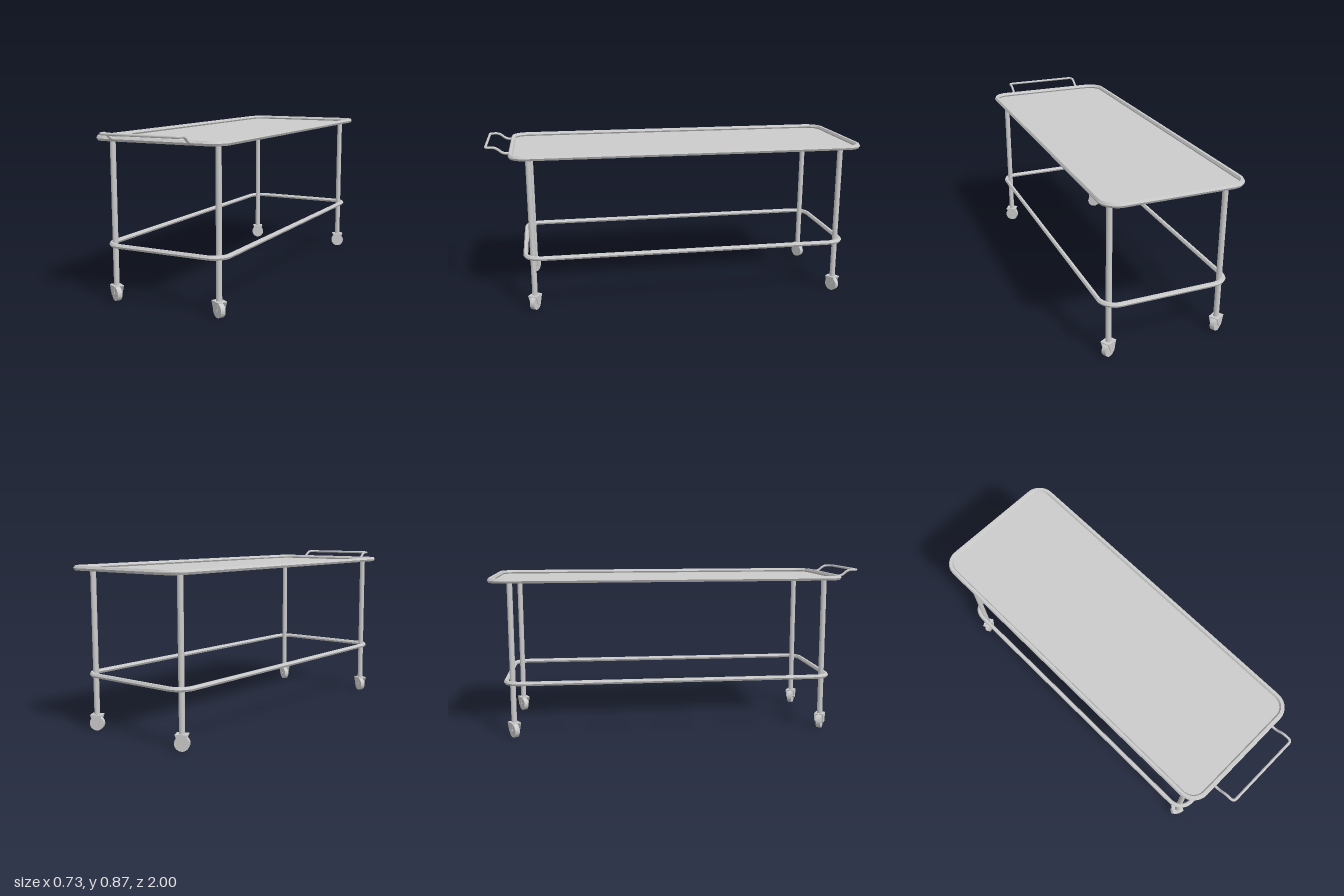
import * as THREE from 'three';

const material = new THREE.MeshStandardMaterial({ color: 0xcccccc });
const faceted = new THREE.MeshStandardMaterial({ color: 0xcccccc, flatShading: true });

function part(name, geometry, mat = material) {
  const mesh = new THREE.Mesh(geometry, mat);
  mesh.name = name;
  return mesh;
}

// Outline of a rounded rectangle in the xz plane, grown outward by d
function outline(hx, hz, r, d, steps = 7) {
  const points = [];
  const corners = [[1, 1], [-1, 1], [-1, -1], [1, -1]];
  corners.forEach(([sx, sz], q) => {
    for (let i = 0; i <= steps; i++) {
      const a = (q + i / steps) * Math.PI / 2;
      points.push([sx * (hx - r) + (r + d) * Math.cos(a), sz * (hz - r) + (r + d) * Math.sin(a)]);
    }
  });
  return points;
}

// Hexagonal bar swept round a rounded rectangle
function ringGeometry(hx, hz, r, bar) {
  const sides = 6, positions = [], index = [];
  let n = 0;
  for (let s = 0; s < sides; s++) {
    const t = s / sides * Math.PI * 2;
    const loop = outline(hx, hz, r, bar * Math.cos(t));
    n = loop.length;
    loop.forEach(([x, z]) => positions.push(x, bar * Math.sin(t), z));
  }
  for (let s = 0; s < sides; s++) {
    for (let i = 0; i < n; i++) {
      const a = s * n + i, b = s * n + (i + 1) % n;
      const c = ((s + 1) % sides) * n + i, d = ((s + 1) % sides) * n + (i + 1) % n;
      index.push(a, c, b, b, c, d);
    }
  }
  const g = new THREE.BufferGeometry();
  g.setAttribute('position', new THREE.Float32BufferAttribute(positions, 3));
  g.setIndex(index);
  g.computeVertexNormals();
  return g;
}

// Path through points with each inner corner rounded
function roundedPath(points, radius) {
  const path = new THREE.CurvePath();
  let last = points[0];
  for (let i = 1; i < points.length - 1; i++) {
    const p = points[i];
    const toward = (q) => p.clone().add(q.clone().sub(p).setLength(Math.min(radius, p.distanceTo(q) * 0.45)));
    const a = toward(points[i - 1]), b = toward(points[i + 1]);
    path.add(new THREE.LineCurve3(last, a));
    path.add(new THREE.QuadraticBezierCurve3(a, p, b));
    last = b;
  }
  path.add(new THREE.LineCurve3(last, points[points.length - 1]));
  return path;
}

function makeCaster() {
  const caster = new THREE.Group();
  caster.name = 'caster';
  const wheel = part('wheel', new THREE.CylinderGeometry(0.037, 0.037, 0.025, 28).rotateX(Math.PI / 2));
  wheel.position.y = 0.037;
  const axle = part('axle', new THREE.CylinderGeometry(0.005, 0.005, 0.046, 10).rotateX(Math.PI / 2));
  axle.position.y = 0.039;
  const plate = part('forkTop', new THREE.BoxGeometry(0.061, 0.004, 0.048));
  plate.position.y = 0.081;
  caster.add(wheel, axle, plate);

  // Tapered fork cheeks on both sides of the wheel
  const cheek = new THREE.Shape([
    new THREE.Vector2(-0.0305, 0.083), new THREE.Vector2(-0.012, 0.033),
    new THREE.Vector2(0.012, 0.033), new THREE.Vector2(0.0305, 0.083),
  ]);
  for (const z of [-0.025, 0.022]) {
    const side = part('forkCheek', new THREE.ExtrudeGeometry(cheek, { depth: 0.003, bevelEnabled: false }));
    side.position.z = z;
    caster.add(side);
  }
  return caster;
}

export function createModel() {
  const model = new THREE.Group();
  model.name = 'trolley';

  // Tray: a thin sheet at the foot of a raised rim
  const sheetShape = new THREE.Shape(outline(0.3515, 0.9265, 0.08, 0).map(([x, z]) => new THREE.Vector2(x, z)));
  const sheet = part('traySheet',
    new THREE.ExtrudeGeometry(sheetShape, { depth: 0.003, bevelEnabled: false }).rotateX(-Math.PI / 2));
  sheet.position.set(0, 0.821, -0.06);
  const rim = part('trayRim', ringGeometry(0.3515, 0.9265, 0.08, 0.0135), faceted);
  rim.position.set(0, 0.8325, -0.06);

  // Lower frame
  const frame = part('lowerFrame', ringGeometry(0.3295, 0.871, 0.08, 0.0125), faceted);
  frame.position.set(0, 0.295, -0.0525);
  model.add(sheet, rim, frame);

  // Legs and casters, front and back swivelled opposite ways
  for (const x of [-0.295, 0.295]) {
    for (const [z, swivel] of [[0.78, -Math.PI / 6], [-0.885, Math.PI / 6]]) {
      const leg = part('leg', new THREE.CylinderGeometry(0.0145, 0.0145, 0.74, 16));
      leg.position.set(x, 0.452, z);
      const caster = makeCaster();
      caster.position.set(x, 0, z);
      caster.rotation.y = swivel;
      model.add(leg, caster);
    }
  }

  // Push handle rising from the front of the tray
  const side = [[0.835, 0.868], [0.835, 0.905], [0.867, 0.942], [0.867, 0.993]];
  const arm = (x) => side.map(([y, z]) => new THREE.Vector3(x, y, z));
  const path = roundedPath([...arm(-0.212), ...arm(0.212).reverse()], 0.02);
  model.add(part('handle', new THREE.TubeGeometry(path, 140, 0.007, 8, false)));

  return model;
}
